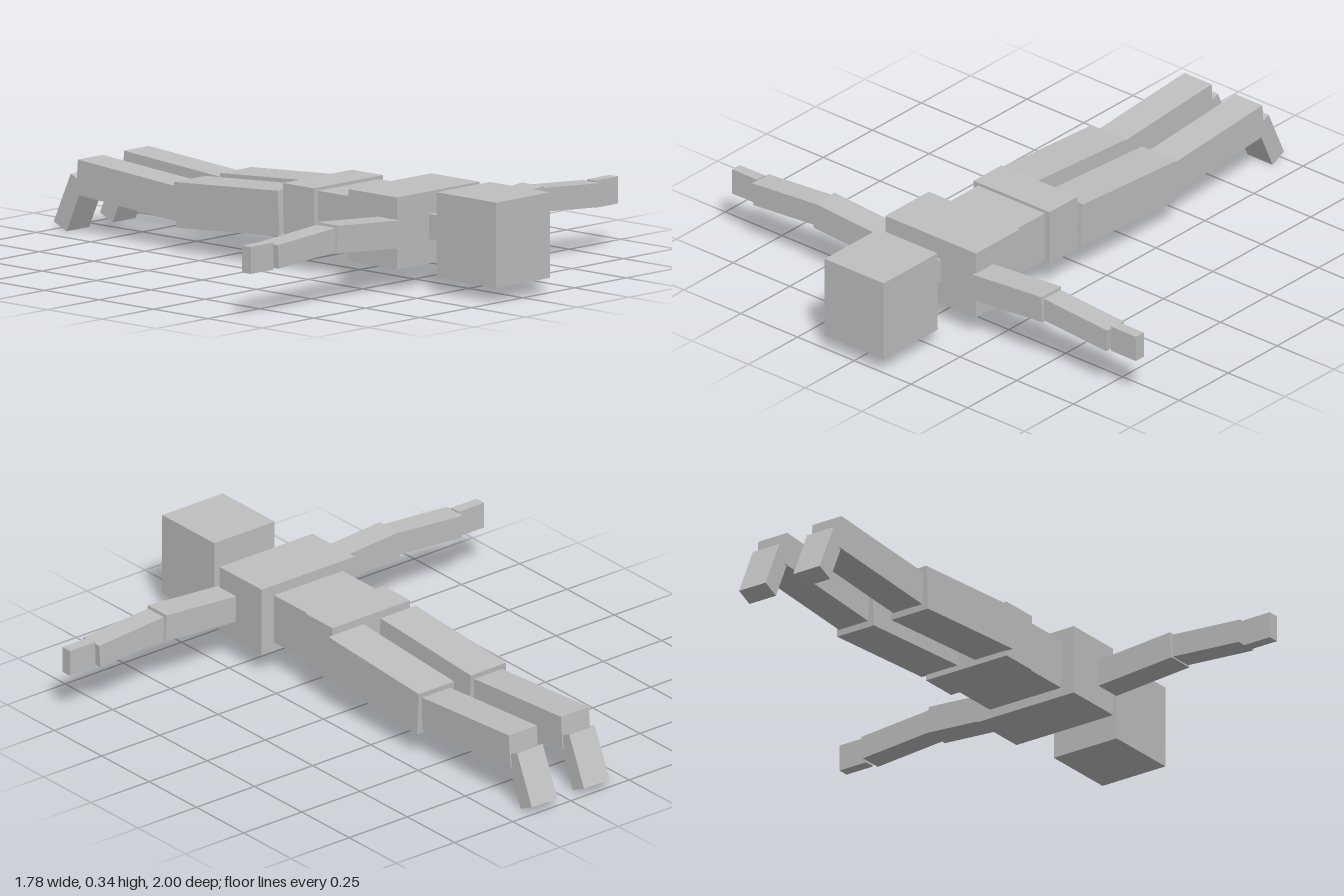
import * as THREE from 'three';

export function createModel() {
  const model = new THREE.Group();
  const grey = new THREE.MeshStandardMaterial({ color: 0xbfbfbf });
  grey.name = 'light grey';

  // Box spanning the given ranges
  function block(name, [x0, x1], [y0, y1], [z0, z1]) {
    const mesh = new THREE.Mesh(new THREE.BoxGeometry(x1 - x0, y1 - y0, z1 - z0), grey);
    mesh.position.set((x0 + x1) / 2, (y0 + y1) / 2, (z0 + z1) / 2);
    mesh.name = name;
    model.add(mesh);
  }

  // Box whose long (local z) axis runs between two joints
  function limb(name, width, height, from, to) {
    const a = new THREE.Vector3(...from);
    const b = new THREE.Vector3(...to);
    const mesh = new THREE.Mesh(new THREE.BoxGeometry(width, height, a.distanceTo(b)), grey);
    mesh.position.copy(a).add(b).multiplyScalar(0.5);
    mesh.lookAt(b);
    mesh.name = name;
    model.add(mesh);
  }

  // Trunk, lying face down along z
  block('head', [-0.13, 0.13], [0.05, 0.34], [0.725, 1]);
  block('neck', [-0.045, 0.045], [0.155, 0.24], [0.61, 0.725]);
  block('chest', [-0.2, 0.2], [0.073, 0.317], [0.388, 0.61]);
  block('waist', [-0.147, 0.147], [0.105, 0.28], [0.197, 0.388]);
  block('hips', [-0.167, 0.167], [0.093, 0.291], [0.055, 0.197]);

  for (const [side, s] of [['left', 1], ['right', -1]]) {
    // Arms stretched sideways
    limb(side + 'UpperArm', 0.1, 0.094, [s * 0.2, 0.194, 0.573], [s * 0.502, 0.216, 0.573]);
    limb(side + 'Forearm', 0.084, 0.081, [s * 0.502, 0.215, 0.573], [s * 0.78, 0.194, 0.573]);
    const hand = [0.78 * s, 0.89 * s].sort((a, b) => a - b);
    block(side + 'Hand', hand, [0.148, 0.24], [0.553, 0.593]);

    // Legs stretched back, feet hanging down
    const x = s * 0.112;
    limb(side + 'Thigh', 0.152, 0.154, [x, 0.19, 0.055], [x, 0.159, -0.422]);
    limb(side + 'Shin', 0.12, 0.119, [x, 0.158, -0.424], [x, 0.192, -0.888]);
    limb(side + 'Foot', 0.11, 0.064, [x, 0.185, -0.892], [x, 0.013, -0.97]);
  }
  return model;
}
